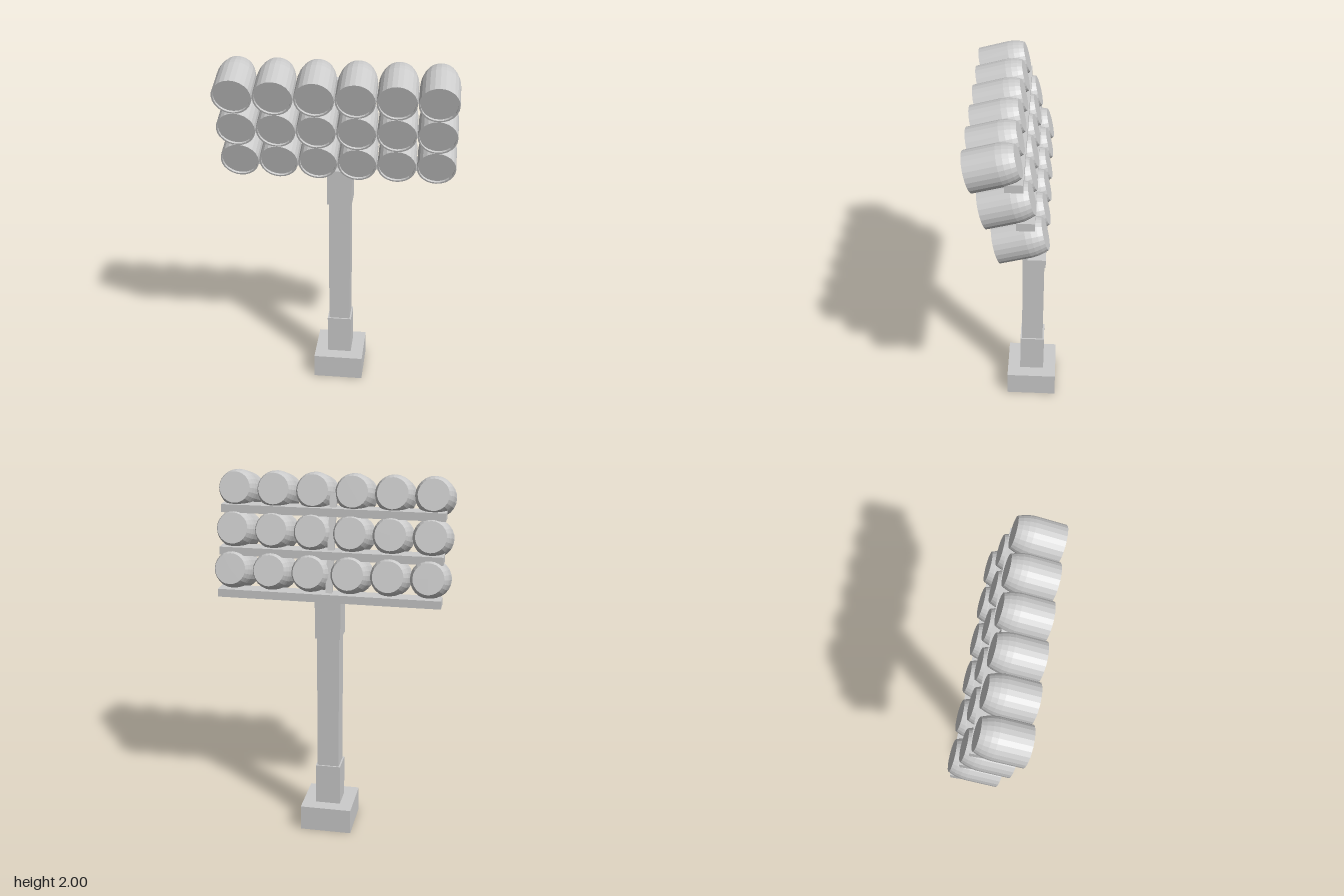
import * as THREE from 'three';

export function createModel() {
  const model = new THREE.Group();
  model.name = 'floodlightTower';
  const metal = new THREE.MeshStandardMaterial({ color: 0xcccccc, flatShading: true });
  metal.name = 'light grey metal';

  // The whole tower is turned about its post
  const tower = new THREE.Group();
  tower.name = 'tower';
  tower.position.set(0.105, 0, -0.065);
  tower.rotation.y = -Math.PI / 3;
  model.add(tower);

  function box(name, w, d, y0, y1, z = 0) {
    const mesh = new THREE.Mesh(new THREE.BoxGeometry(w, y1 - y0, d), metal);
    mesh.name = name;
    mesh.position.set(0, (y0 + y1) / 2, z);
    tower.add(mesh);
    return mesh;
  }

  // Base and square post with collars
  box('base', 0.286, 0.286, 0, 0.143);
  box('lowerCollar', 0.139, 0.139, 0.143, 0.375);
  box('post', 0.121, 0.121, 0.375, 1.14);
  box('upperCollar', 0.139, 0.139, 1.14, 1.346);

  // Cross bars, stepped forward with height
  for (let i = 0; i < 3; i++) {
    const y = 1.368 + i * 0.22;
    box('crossBar', 1.207, 0.09, y - 0.022, y + 0.022, -0.029 + i * 0.057);
  }

  // Leaning strut joining the bars
  const strut = box('strut', 0.035, 0.03, 1.37, 1.91, 0.04);
  strut.rotation.x = 0.255;

  // Lamp: tapered rear, straight barrel, thin rim and recessed lens
  const profile = [
    [0, 0], [0.083, 0], [0.093, 0.025], [0.101, 0.055], [0.105, 0.085],
    [0.105, 0.25], [0.096, 0.25], [0.096, 0.237], [0, 0.237],
  ].map(([r, y]) => new THREE.Vector2(r, y));
  const lampGeometry = new THREE.LatheGeometry(profile, 24);
  lampGeometry.rotateX(Math.PI / 2 + 0.27);

  // Three rows of six lamps
  for (let row = 0; row < 3; row++) {
    for (let col = 0; col < 6; col++) {
      const lamp = new THREE.Mesh(lampGeometry, metal);
      lamp.name = 'lamp';
      lamp.position.set((col - 2.5) * 0.213, 1.919 - row * 0.207, 0.067 - row * 0.068);
      tower.add(lamp);
    }
  }
  return model;
}
